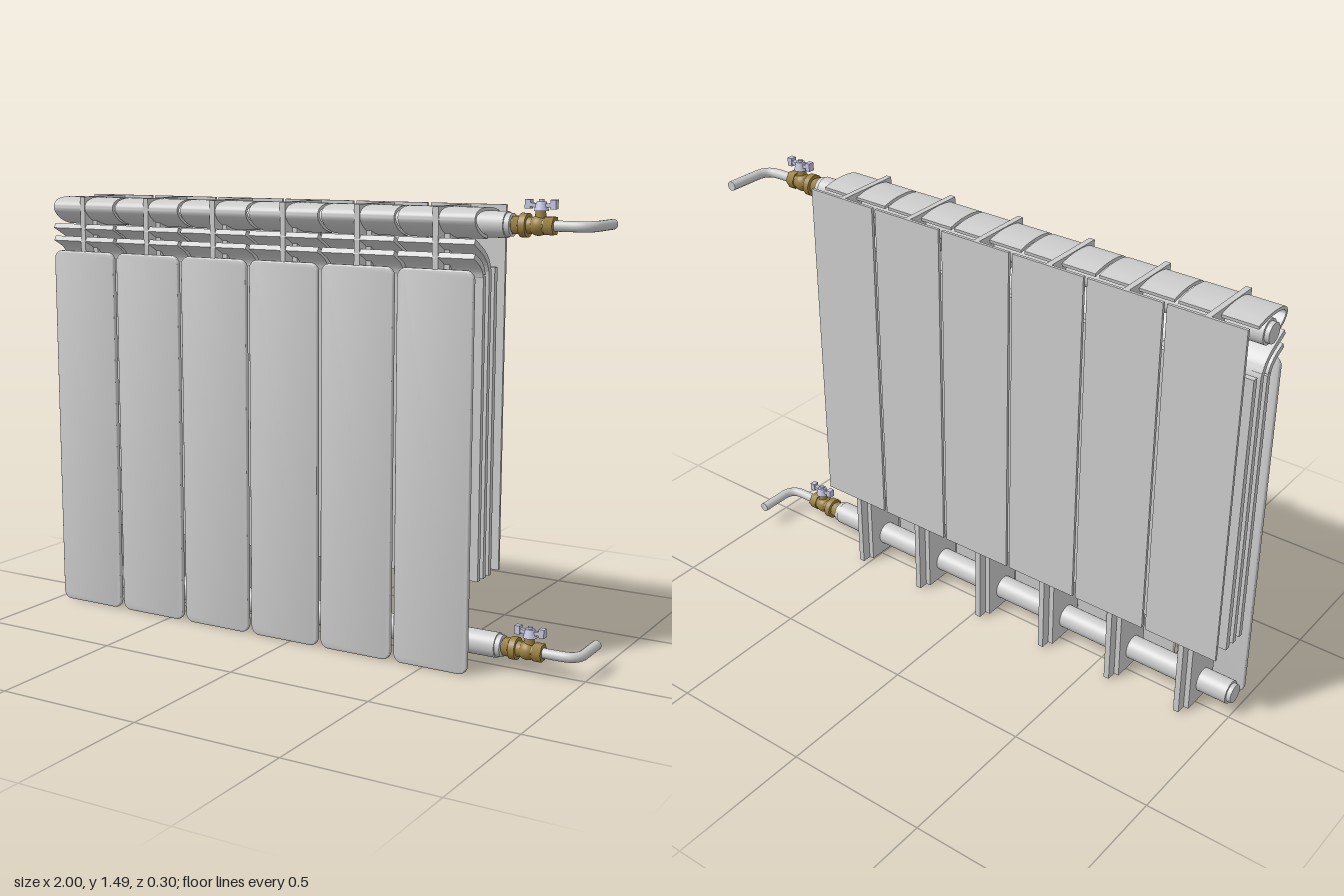
import * as THREE from 'three';
import { toCreasedNormals } from 'three/addons/utils/BufferGeometryUtils.js';

const grey = new THREE.MeshStandardMaterial({ color: 0xcccccc });
const brass = new THREE.MeshStandardMaterial({ color: 0x9a8040 });
const lilac = new THREE.MeshStandardMaterial({ color: 0xc4c4e0 });

const PITCH = 0.275, WIDTH = 0.262, FIRST = -0.849, TUBE_Z = 0.03;

function add(parent, name, geometry, material, x = 0, y = 0, z = 0) {
  const mesh = new THREE.Mesh(geometry, material);
  mesh.name = name;
  mesh.position.set(x, y, z);
  parent.add(mesh);
  return mesh;
}

// Box given by its limits, centred on x = 0
function slab(width, y0, y1, z0, z1) {
  return new THREE.BoxGeometry(width, y1 - y0, z1 - z0).translate(0, (y0 + y1) / 2, (z0 + z1) / 2);
}

// Sheet of constant thickness following a (z, y) path, extruded along x
function sheet(points, thickness, width, samples = 32) {
  const curve = new THREE.SplineCurve(points.map(p => new THREE.Vector2(...p)));
  const a = [], b = [];
  for (let i = 0; i <= samples; i++) {
    const p = curve.getPoint(i / samples), t = curve.getTangent(i / samples);
    const n = new THREE.Vector2(-t.y, t.x).multiplyScalar(thickness / 2);
    a.push(p.clone().add(n));
    b.unshift(p.clone().sub(n));
  }
  const g = new THREE.ExtrudeGeometry(new THREE.Shape([...a, ...b]), { depth: width, bevelEnabled: false });
  g.translate(0, 0, -width / 2).rotateY(-Math.PI / 2);
  return toCreasedNormals(g, 0.6);
}

// Cylinder lying along x, from x0 to x1
function rod(radius, x0, x1, sides = 32) {
  return new THREE.CylinderGeometry(radius, radius, x1 - x0, sides)
    .rotateZ(Math.PI / 2).translate((x0 + x1) / 2, 0, 0);
}

// Front plate with rounded corners and softened edges
function frontPlate() {
  const e = 0.005, w = WIDTH / 2 - e, y0 = e, y1 = 1.28 - e, r = 0.025;
  const s = new THREE.Shape();
  s.moveTo(-w + r, y0);
  s.lineTo(w - r, y0);
  s.absarc(w - r, y0 + r, r, -Math.PI / 2, 0);
  s.absarc(w - r, y1 - r, r, 0, Math.PI / 2);
  s.absarc(-w + r, y1 - r, r, Math.PI / 2, Math.PI);
  s.absarc(-w + r, y0 + r, r, Math.PI, Math.PI * 1.5);
  const g = new THREE.ExtrudeGeometry(s, {
    depth: 0.008, bevelThickness: e, bevelSize: e, bevelSegments: 3, curveSegments: 8
  });
  return toCreasedNormals(g.translate(0, 0, 0.133), 0.6);
}

const sectionParts = [
  ['frontPlate', frontPlate()],
  ['backPlate', slab(WIDTH, 0.29, 1.47, -0.095, -0.085)],
  ['web', slab(0.02, 0.004, 1.47, -0.085, 0.144)],
  ['waterColumn', slab(0.056, 0.006, 1.40, -0.052, 0.1)],
  // Two fins sweep forward at the top, the third stays straight
  ['frontFin', sheet([[0.065, 0.29], [0.065, 0.75], [0.065, 1.2], [0.068, 1.26], [0.09, 1.295], [0.14, 1.323]], 0.018, WIDTH)],
  ['middleFin', sheet([[0.024, 0.29], [0.024, 0.75], [0.024, 1.21], [0.03, 1.28], [0.065, 1.325], [0.14, 1.367]], 0.018, WIDTH)],
  ['rearFin', slab(WIDTH, 0.29, 1.28, -0.028, -0.008)],
  // Rounded shell wrapping over the upper pipe
  ['topHood', sheet([[-0.03, 1.45], [0.02, 1.46], [0.08, 1.461], [0.122, 1.452], [0.137, 1.432],
    [0.122, 1.408], [0.09, 1.388], [0.05, 1.376]], 0.011, WIDTH, 40)],
];

function makeSection(x) {
  const section = new THREE.Group();
  section.name = 'section';
  section.position.x = x;
  for (const [name, geometry] of sectionParts) add(section, name, geometry, grey);
  return section;
}

// Collector tube with its end plugs
function makeCollector(y) {
  const g = new THREE.Group();
  g.name = 'collector';
  g.position.set(0, y, TUBE_Z);
  add(g, 'tube', rod(0.041, -0.985, 0.715), grey);
  add(g, 'endPlug', rod(0.033, -1.0, -0.98), grey);
  add(g, 'outletRing', rod(0.036, 0.71, 0.732), grey);
  return g;
}

// Valve with butterfly handle and bent outlet pipe
function makeValve(y, pipeEnd) {
  const g = new THREE.Group();
  g.name = 'valve';
  g.position.set(0, y, TUBE_Z - 0.002);
  add(g, 'inletNeck', rod(0.025, 0.728, 0.89 - 0.03), brass);
  add(g, 'inletNut', rod(0.031, 0.735, 0.756, 6), brass);
  add(g, 'unionNut', rod(0.037, 0.76, 0.782), brass);
  const body = new THREE.SphereGeometry(0.031, 24, 16);
  add(g, 'body', body, brass, 0.815);
  add(g, 'outletNut', rod(0.031, 0.838, 0.868, 6), brass);
  add(g, 'stem', new THREE.CylinderGeometry(0.015, 0.019, 0.05, 20), brass, 0.82, 0.028, 0);

  // Handle: hub, cap and two wings
  const handle = new THREE.Group();
  handle.name = 'handle';
  handle.position.set(0.822, 0.058, 0);
  g.add(handle);
  add(handle, 'hub', new THREE.CylinderGeometry(0.015, 0.023, 0.028, 20), lilac);
  add(handle, 'cap', new THREE.CylinderGeometry(0.008, 0.008, 0.012, 12), lilac, 0, 0.015, 0);
  for (const side of [-1, 1]) {
    const arm = add(handle, 'arm', new THREE.BoxGeometry(0.036, 0.012, 0.016), lilac, side * 0.024, 0.003, 0);
    arm.rotation.z = side * 0.2;
    add(handle, 'wing', new THREE.BoxGeometry(0.018, 0.028, 0.022), lilac, side * 0.041, 0.006, 0);
  }

  // Straight run, quarter bend, then straight back
  const path = new THREE.CurvePath(), bx = 0.983, r = 0.055;
  const v = (x, z) => new THREE.Vector3(x, 0, z);
  path.add(new THREE.LineCurve3(v(0.86, 0), v(bx - r, 0)));
  path.add(new THREE.QuadraticBezierCurve3(v(bx - r, 0), v(bx, 0), v(bx, -r)));
  path.add(new THREE.LineCurve3(v(bx, -r), v(bx, pipeEnd - TUBE_Z)));
  add(g, 'pipe', new THREE.TubeGeometry(path, 48, 0.0165, 20), grey);
  const end = add(g, 'pipeEnd', new THREE.CircleGeometry(0.0165, 20), grey, bx, 0, pipeEnd - TUBE_Z);
  end.rotation.y = Math.PI;
  return g;
}

export function createModel() {
  const model = new THREE.Group();
  model.name = 'radiator';
  for (let i = 0; i < 6; i++) model.add(makeSection(FIRST + i * PITCH));
  for (const [y, pipeEnd] of [[0.079, -0.13], [1.415, -0.147]]) {
    model.add(makeCollector(y), makeValve(y, pipeEnd));
  }
  return model;
}
